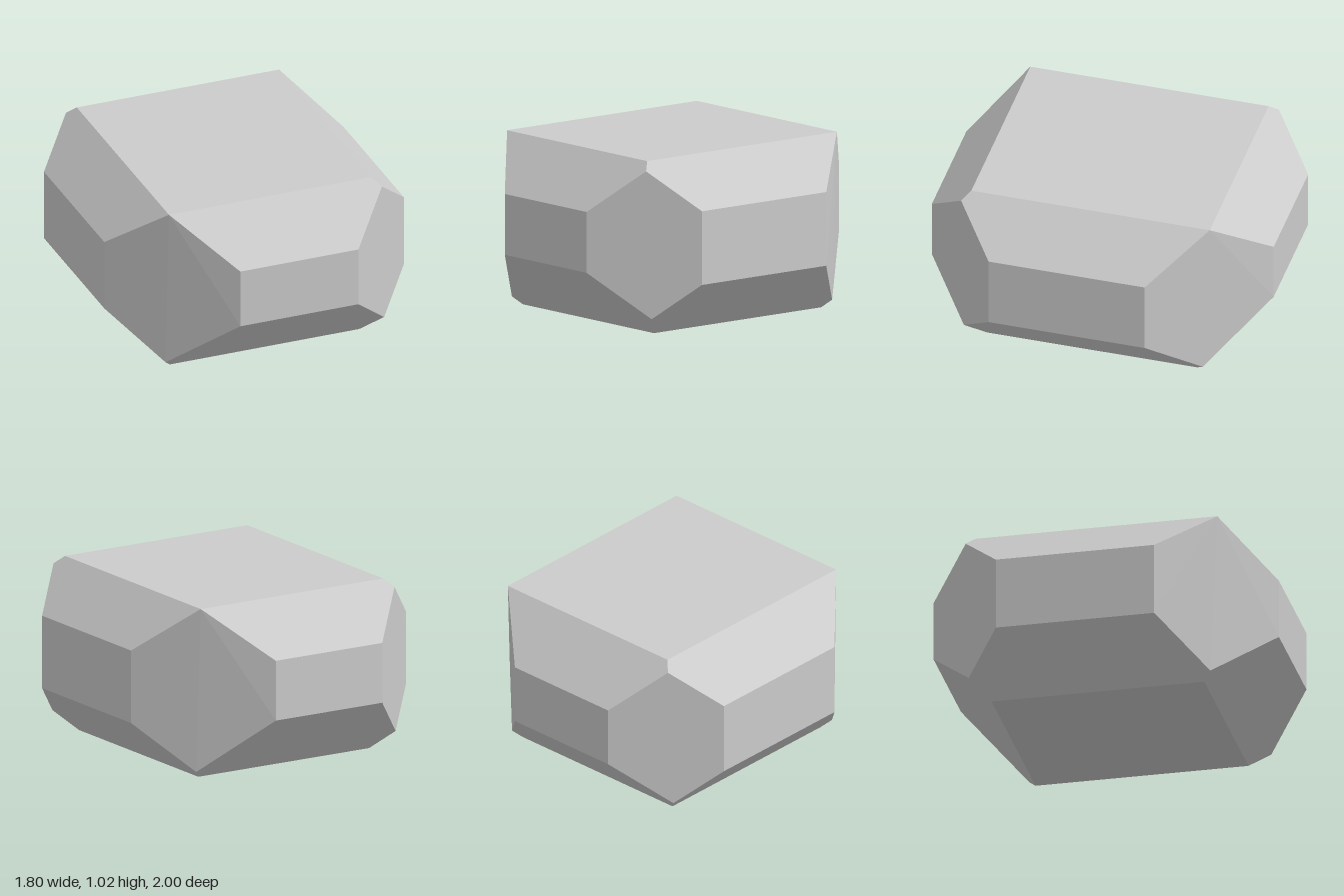
import * as THREE from 'three';
import { ConvexGeometry } from 'three/addons/geometries/ConvexGeometry.js';

// Corners of the front half; the back half is the same turned half a circle about y
const frontCorners = [
  // top and bottom faces
  [0.625, 1.02, 0.71], [-0.625, 1.02, 0.71],
  [0.585, 0, 0.625], [-0.585, 0, 0.625],
  // upright front face
  [0.43, 0.73, 1], [-0.3, 0.73, 1], [0.43, 0.375, 1], [-0.3, 0.375, 1],
  // front edges of the upright side faces
  [0.9, 0.745, 0.53], [0.9, 0.315, 0.53],
  [-0.9, 0.745, 0.4], [-0.9, 0.315, 0.4],
  // tips of the broad corner facet and of the narrow one
  [0.6725, 0.9725, 0.7575], [0.695, 0.11, 0.735], [-0.63, 0.045, 0.67],
];

export function createModel() {
  const group = new THREE.Group();
  group.name = 'facetedBlock';

  const points = frontCorners.flatMap(([x, y, z]) => [
    new THREE.Vector3(x, y, z),
    new THREE.Vector3(-x, y, -z),
  ]);

  // One closed, flat-faced stone
  const block = new THREE.Mesh(
    new ConvexGeometry(points),
    new THREE.MeshStandardMaterial({ color: 0xcccccc, flatShading: true }),
  );
  block.name = 'chamferedStone';
  group.add(block);
  return group;
}
